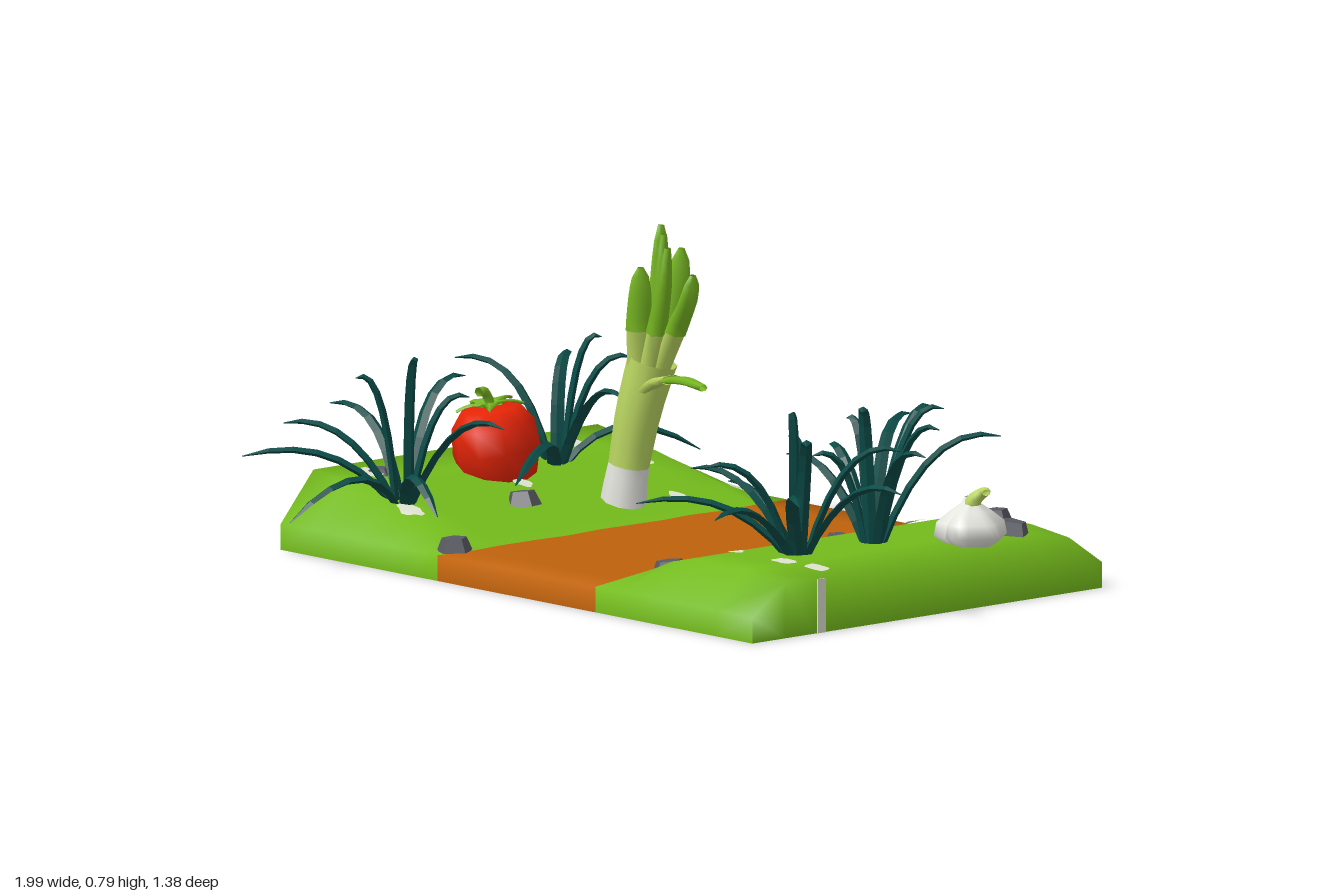
import * as THREE from 'three';

const mat = (name, color, side = THREE.FrontSide) =>
  Object.assign(new THREE.MeshStandardMaterial({ color, side }), { name });
const V = (x, y, z) => new THREE.Vector3(x, y, z);
const lerp = THREE.MathUtils.lerp;

// Terrain cross-section: banks on both sides of a sunken path
const profile = [[-0.87, 0.19], [-0.75, 0.172], [-0.6, 0.142], [-0.45, 0.108], [-0.35, 0.082], [-0.28, 0.065],
  [-0.08, 0.065], [0.11, 0.065], [0.31, 0.065], [0.4, 0.11], [0.47, 0.138], [0.56, 0.155], [0.75, 0.155], [0.89, 0.14]];
const rows = [-0.69, -0.58, -0.47, -0.37, -0.27, -0.17, -0.06, 0.05, 0.16, 0.27, 0.37, 0.48];

function ground(x, z) {
  let i = 0;
  while (i < profile.length - 2 && profile[i + 1][0] < x) i++;
  const [x0, y0] = profile[i], [x1, y1] = profile[i + 1];
  const y = lerp(y0, y1, THREE.MathUtils.clamp((x - x0) / (x1 - x0), 0, 1));
  const ramp = THREE.MathUtils.clamp(Math.min((z + 0.69) / 0.11, (0.48 - z) / 0.11), 0, 1);
  return 0.065 + (y - 0.065) * ramp;
}

// Open shell: top sheet with a skirt folded down to y = 0 on all four sides
function terrainGeometry() {
  const nx = profile.length + 2, nz = rows.length + 2, pos = [], idx = [];
  for (let j = 0; j < nz; j++) for (let i = 0; i < nx; i++) {
    const z = rows[THREE.MathUtils.clamp(j - 1, 0, nz - 3)];
    const k = THREE.MathUtils.clamp(i - 1, 0, nx - 3);
    const skirt = i === 0 || j === 0 || i === nx - 1 || j === nz - 1;
    const ragged = k === 5 || k === 8 ? 0.006 * Math.sin(z * 37) : 0;
    pos.push(profile[k][0] + ragged, skirt ? 0 : ground(profile[k][0], z), z);
  }
  const g = new THREE.BufferGeometry();
  for (let i = 0; i < nx - 1; i++) {
    const start = idx.length;
    for (let j = 0; j < nz - 1; j++) {
      const a = j * nx + i, b = a + nx;
      idx.push(a, b, a + 1, a + 1, b, b + 1);
    }
    g.addGroup(start, idx.length - start, i >= 6 && i <= 8 ? 1 : 0);
  }
  g.setAttribute('position', new THREE.Float32BufferAttribute(pos, 3));
  g.setIndex(idx);
  g.computeVertexNormals();
  return g;
}

// Tapered sweep along a curve; widths and thicknesses are functions of t
function loft(curve, width, thick, sides, steps, across = V(0, 0, 1), flat = false) {
  const pos = [], idx = [];
  for (let i = 0; i <= steps; i++) {
    const t = i / steps, p = curve.getPoint(t), T = curve.getTangent(t);
    const W = across.clone().addScaledVector(T, -across.dot(T)).normalize();
    const N = T.clone().cross(W);
    for (let j = 0; j < sides; j++) {
      const a = (j / sides) * Math.PI * 2;
      const q = p.clone().addScaledVector(W, Math.cos(a) * width(t)).addScaledVector(N, Math.sin(a) * thick(t));
      pos.push(q.x, q.y, q.z);
      if (i < steps) {
        const A = i * sides + j, B = i * sides + (j + 1) % sides;
        idx.push(A, B, A + sides, B, B + sides, A + sides);
      }
    }
  }
  let g = new THREE.BufferGeometry();
  g.setAttribute('position', new THREE.Float32BufferAttribute(pos, 3));
  g.setIndex(idx);
  if (flat) g = g.toNonIndexed();
  g.computeVertexNormals();
  return g;
}

export function createModel() {
  const root = new THREE.Group();
  const grass = mat('grass green', 0x74bb1c, THREE.DoubleSide);
  const earth = mat('path brown', 0xbe620c, THREE.DoubleSide);
  const teal = mat('dark teal', 0x0a4a46, THREE.DoubleSide);
  const red = mat('tomato red', 0xe52406);
  const white = mat('bulb white', 0xe4e4de, THREE.DoubleSide);
  const pale = mat('pale green', 0xbcd862, THREE.DoubleSide);
  const leafGreen = mat('leaf green', 0x78b822, THREE.DoubleSide);
  const stone = mat('stone grey', 0x595963);
  const speck = mat('blossom white', 0xdfe3d0, THREE.DoubleSide);
  const add = (name, geo, material, parent = root) => {
    const m = new THREE.Mesh(geo, material);
    m.name = name;
    parent.add(m);
    return m;
  };

  add('terrain', terrainGeometry(), [grass, earth]);

  // Grass tufts: centre, then blade tips as x, y, z
  const tufts = [
    [[-0.69, -0.28], [[-0.52, 0.17, -0.61], [-0.62, 0.47, -0.37], [-0.8, 0.4, -0.43], [-1.0, 0.385, -0.22],
      [-0.4, 0.36, -0.24], [-0.84, 0.3, -0.13], [-0.45, 0.17, 0.07], [-0.56, 0.42, -0.42]]],
    [[-0.6, 0.31], [[-0.65, 0.42, 0.06], [-0.92, 0.34, 0.27], [-0.87, 0.32, 0.47], [-0.88, 0.25, 0.6], [-0.6, 0.13, 0.69],
      [-0.33, 0.15, 0.44], [-0.27, 0.36, 0.27], [-0.55, 0.5, 0.31], [-0.68, 0.45, 0.4], [-0.5, 0.4, 0.18]]],
    [[0.67, -0.12], [[0.52, 0.43, -0.38], [0.64, 0.47, -0.34], [0.78, 0.49, -0.26], [0.87, 0.42, -0.37], [0.37, 0.34, -0.1],
      [0.89, 0.4, -0.1], [0.83, 0.45, -0.2], [0.55, 0.45, -0.14], [0.42, 0.36, -0.2], [0.72, 0.5, -0.04], [0.6, 0.38, 0.02]]],
    [[0.66, 0.12], [[0.31, 0.28, 0.04], [0.39, 0.28, 0.42], [0.36, 0.34, 0.21], [0.74, 0.29, 0.47], [0.99, 0.34, 0.07],
      [0.91, 0.33, 0.34], [0.54, 0.38, 0.33], [0.47, 0.41, -0.02], [0.87, 0.42, -0.04], [0.63, 0.5, 0.12], [0.78, 0.45, 0.2]]],
  ];
  for (const [[cx, cz], tips] of tufts) {
    const tuft = new THREE.Group();
    tuft.name = 'grassTuft';
    root.add(tuft);
    const y0 = ground(cx, cz) - 0.02;
    tips.forEach(([x, y, z], i) => {
      const dx = x - cx, dz = z - cz, d = Math.hypot(dx, dz) || 0.01;
      const sway = (i % 2 ? 1 : -1) * 0.1;
      const curve = new THREE.QuadraticBezierCurve3(V(cx + dx / d * 0.018, y0, cz + dz / d * 0.018),
        V(cx + dx * 0.42 - dz * sway, Math.max(y, 0.26) + 0.05, cz + dz * 0.42 + dx * sway), V(x, y, z));
      const taper = t => 0.002 + 0.019 * Math.pow(Math.max(1 - t, 0), 0.4) * (0.8 + 0.4 * t);
      add('blade', loft(curve, taper, t => taper(t) * 0.55, 4, 7, V(-dz / d, 0, dx / d), true), teal, tuft);
    });
  }

  // Tomato with a star of sepals and a curved stalk
  const tomato = new THREE.Group();
  tomato.name = 'tomato';
  tomato.position.set(-0.69, 0.11, -0.1);
  tomato.rotation.set(0.06, 0.5, 0.1);
  root.add(tomato);
  const lathe = (pts, n) => new THREE.LatheGeometry(pts.map(([r, y]) => new THREE.Vector2(r, y)), n);
  add('fruit', lathe([[0, -0.03], [0.06, -0.025], [0.1, 0.03], [0.12, 0.1], [0.114, 0.165], [0.08, 0.208], [0, 0.205]], 10), red, tomato)
    .scale.set(0.9, 1, 1.08);
  for (let i = 0; i < 5; i++) {
    const a = i / 5 * Math.PI * 2, c = Math.cos(a), s = Math.sin(a);
    const curve = new THREE.QuadraticBezierCurve3(V(0, 0.213, 0), V(c * 0.05, 0.23, s * 0.05), V(c * 0.09, 0.212, s * 0.09));
    add('sepal', loft(curve, t => 0.034 * (1 - t) + 0.001, () => 0.004, 4, 4, V(-s, 0, c)), leafGreen, tomato);
  }
  add('stalk', loft(new THREE.QuadraticBezierCurve3(V(0, 0.2, 0), V(0, 0.26, 0), V(-0.01, 0.255, 0.04)),
    () => 0.013, () => 0.013, 6, 5, V(1, 0, 0)), leafGreen, tomato);

  // Leek: white foot, pale shaft, fanned leaves and one leaf bent over
  const leek = new THREE.Group();
  leek.name = 'leek';
  root.add(leek);
  const section = (name, pts, r, material) => add(name, loft(new THREE.CatmullRomCurve3(pts),
    t => lerp(r[0], r[1], t), t => lerp(r[0], r[1], t), 10, 5), material, leek);
  section('foot', [V(-0.415, 0.07, -0.255), V(-0.408, 0.13, -0.258), V(-0.398, 0.19, -0.262)], [0.06, 0.052], white);
  section('shaft', [V(-0.398, 0.19, -0.262), V(-0.37, 0.33, -0.27), V(-0.335, 0.46, -0.285)], [0.052, 0.064], pale);
  const leekTips = [[-0.37, 0.79, -0.345], [-0.31, 0.78, -0.3], [-0.24, 0.76, -0.25], [-0.2, 0.69, -0.3], [-0.3, 0.74, -0.35], [-0.33, 0.7, -0.24]];
  leekTips.forEach(([x, y, z], i) => {
    const base = V(-0.355 + 0.2 * (x + 0.3), 0.38, -0.28 + 0.35 * (z + 0.3));
    const mid = V(lerp(base.x, x, 0.55), 0.54, lerp(base.z, z, 0.7)), tip = V(x, y, z);
    const across = V(Math.sin(i * 1.1) * 0.6, 0, 1).normalize();
    add('leafBase', loft(new THREE.LineCurve3(base, mid), t => 0.026 + 0.006 * t, () => 0.022, 6, 2, across), pale, leek);
    add('leafTip', loft(new THREE.CatmullRomCurve3([mid, V(lerp(mid.x, x, 0.7), lerp(0.54, y, 0.55), lerp(mid.z, z, 0.7)), tip]),
      t => 0.026 * Math.sqrt(Math.max(1 - t * t, 0)) + 0.008, t => 0.017 * (1 - t) + 0.008, 6, 6, across), leafGreen, leek);
  });
  const bentLeaf = [V(-0.35, 0.37, -0.26), V(-0.28, 0.415, -0.245), V(-0.2, 0.435, -0.225), V(-0.12, 0.445, -0.205), V(-0.04, 0.44, -0.19)];
  add('bentLeafBase', loft(new THREE.CatmullRomCurve3(bentLeaf.slice(0, 3)), () => 0.032, () => 0.012, 6, 5), pale, leek);
  add('bentLeafTip', loft(new THREE.CatmullRomCurve3(bentLeaf.slice(2)), t => 0.032 - 0.02 * t * t, () => 0.009, 6, 5), leafGreen, leek);

  // Garlic: lobed bulb with a curled neck
  const garlic = new THREE.Group();
  garlic.name = 'garlic';
  garlic.position.set(0.8, 0.132, -0.33);
  root.add(garlic);
  const bulb = lathe([[0, 0], [0.055, 0.004], [0.088, 0.035], [0.082, 0.068], [0.05, 0.095], [0.022, 0.115], [0.014, 0.13]], 24);
  const bp = bulb.attributes.position;
  for (let i = 0; i < bp.count; i++) {
    const k = 1 + 0.06 * Math.cos(Math.atan2(bp.getZ(i), bp.getX(i)) * 6);
    bp.setXYZ(i, bp.getX(i) * k, bp.getY(i), bp.getZ(i) * k);
  }
  bulb.computeVertexNormals();
  add('bulb', bulb, white, garlic);
  add('neck', loft(new THREE.CatmullRomCurve3([V(0, 0.09, 0), V(0.015, 0.125, 0), V(0.04, 0.145, -0.01), V(0.07, 0.15, 0.01)]),
    t => 0.026 - 0.016 * t, t => 0.024 - 0.016 * t, 8, 8), pale, garlic);

  // Stones scattered on the banks and path edges
  const stones = [[-0.48, 0.02], [0.29, -0.48], [0.3, -0.34], [0.28, 0.21], [0.66, -0.54], [0.79, -0.48], [-0.3, 0.41], [-0.79, 0.23]];
  stones.forEach(([x, z], i) => {
    const g = new THREE.CylinderGeometry(0.034, 0.051, 0.038, 5).toNonIndexed();
    g.computeVertexNormals();
    const m = add('stone', g, stone);
    m.position.set(x, ground(x, z) + (i === 7 ? -0.01 : 0.012), z);
    m.rotation.set(0.12 * Math.sin(i * 2), i * 1.3, 0.15 * Math.cos(i * 3));
    m.scale.set(1, 1, 0.88);
  });

  // Pale blossom patches draped on both faces of the thin ground
  const specks = [[-0.4, -0.63], [-0.77, -0.4], [-0.59, -0.49], [0.47, -0.61], [0.47, -0.44], [0.39, -0.18], [0.4, 0.21],
    [0.56, 0.24], [0.83, 0.21], [0.74, 0.24], [-0.72, 0.16], [-0.53, 0.35], [-0.38, -0.41], [-0.58, -0.07], [-0.78, 0.26]];
  specks.forEach(([x, z], i) => {
    for (const lift of [0.006, -0.006]) {
      const g = new THREE.CircleGeometry(0.028 + 0.007 * Math.sin(i * 2.4), 12).rotateX(-Math.PI / 2);
      const p = g.attributes.position;
      for (let k = 0; k < p.count; k++) {
        const w = 1 + 0.13 * Math.sin(k * 2.1 + i);
        const px = x + p.getX(k) * w * 1.15, pz = z + p.getZ(k) * w * 0.85;
        p.setXYZ(k, px, ground(px, pz) + lift, pz);
      }
      g.computeVertexNormals();
      add('blossomPatch', g, speck);
    }
  });
  add('edgeStripe', new THREE.BoxGeometry(0.006, 0.137, 0.026), speck).position.set(0.89, 0.0685, 0.25);
  return root;
}
